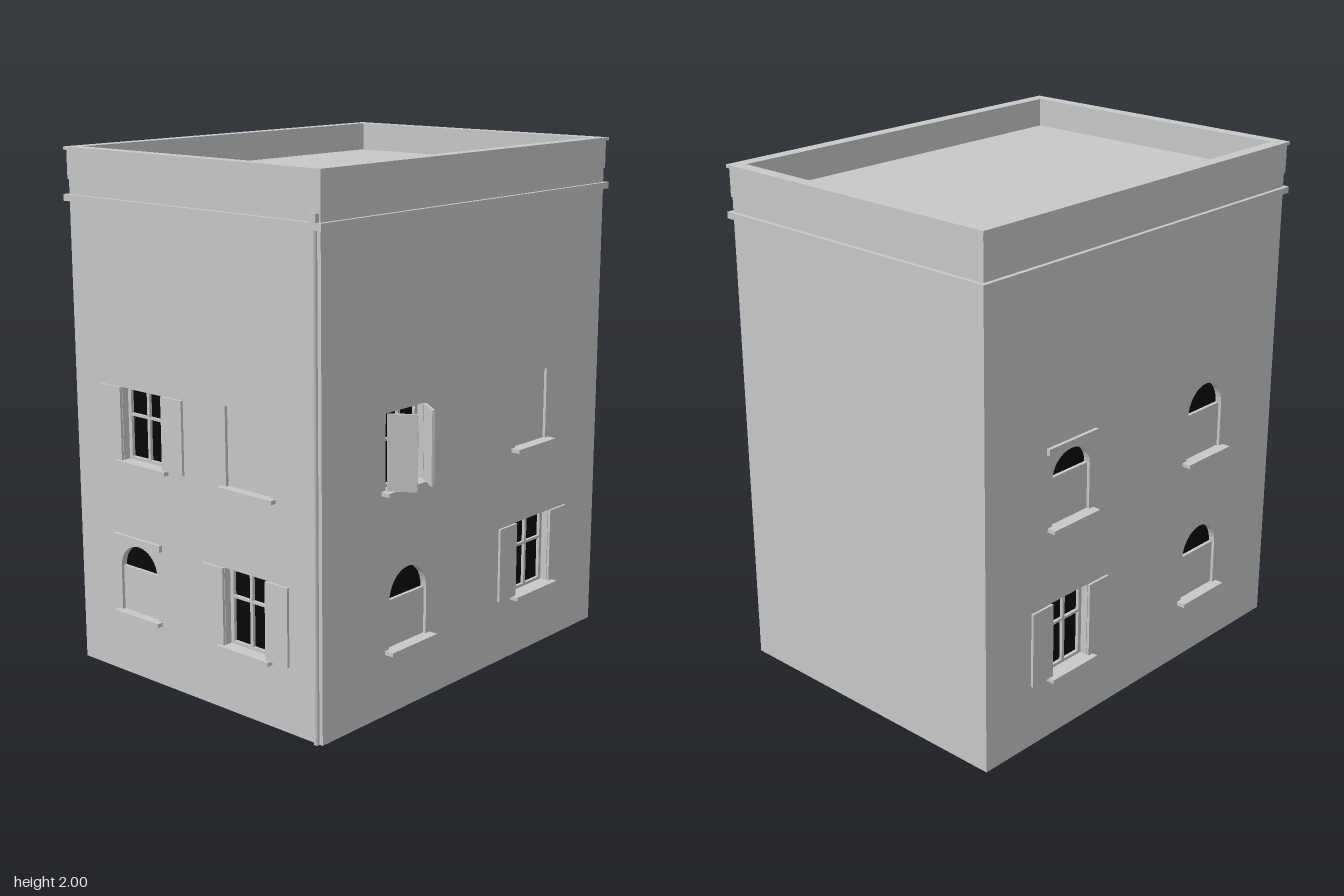
import * as THREE from 'three';

const wallMat = new THREE.MeshStandardMaterial({ color: 0xc8c8c8 });
wallMat.name = 'plaster grey';
const glassMat = new THREE.MeshStandardMaterial({ color: 0x080808 });
glassMat.name = 'dark glass';

// Overall body limits
const X0 = -0.66, X1 = 0.597, Z0 = -0.84, Z1 = 0.822, ROOF = 1.885, WALL = 0.06;
const CX = (X0 + X1) / 2, CZ = (Z0 + Z1) / 2, W = X1 - X0, D = Z1 - Z0;

function box(parent, name, w, h, d, x, y, z, mat = wallMat) {
  const mesh = new THREE.Mesh(new THREE.BoxGeometry(w, h, d), mat);
  mesh.name = name;
  mesh.position.set(x, y, z);
  parent.add(mesh);
  return mesh;
}

function rectPath(path, u0, y0, u1, y1) {
  path.moveTo(u0, y0);
  path.lineTo(u1, y0);
  path.lineTo(u1, y1);
  path.lineTo(u0, y1);
  path.closePath();
  return path;
}

// Outline of an opening, flat or arched at the top
function openingPath(o) {
  const u0 = o.u - o.w / 2, u1 = o.u + o.w / 2, path = new THREE.Path();
  if (o.kind !== 'arched') return rectPath(path, u0, o.y0, u1, o.y1);
  path.moveTo(u0, o.y0);
  path.lineTo(u1, o.y0);
  path.lineTo(u1, o.spring);
  path.absellipse(o.u, o.spring, o.w / 2, o.y1 - o.spring, 0, Math.PI, false);
  path.closePath();
  return path;
}

// Shutter leaf on a hinge; swing is 0 when closed and PI when flat on the wall
function shutter(parent, hingeU, side, swing, y0, y1) {
  const hinge = new THREE.Group();
  hinge.name = 'shutter';
  hinge.position.set(hingeU, (y0 + y1) / 2, 0.007);
  hinge.rotation.y = side < 0 ? -swing : Math.PI + swing;
  box(hinge, 'shutterLeaf', 0.108, y1 - y0, 0.01, 0.054, 0, 0);
  parent.add(hinge);
}

function fillOpening(parent, o, sillOut) {
  const g = new THREE.Group(), h = o.y1 - o.y0, mid = (o.y0 + o.y1) / 2;
  g.name = o.kind + 'Window';
  parent.add(g);
  box(g, 'sill', o.w + 0.045, 0.015, sillOut + 0.03, o.u, o.y0 - 0.007, (sillOut - 0.03) / 2);
  if (o.kind === 'blind') {
    box(g, 'blindPanel', o.w, h, 0.02, o.u, mid, -0.022);
  } else if (o.kind === 'arched') {
    // Solid lower panel with a dark fanlight above
    box(g, 'lowerPanel', o.w, o.spring - o.y0, 0.02, o.u, (o.spring + o.y0) / 2, -0.022);
    box(g, 'fanlightGlass', o.w, o.y1 - o.spring, 0.008, o.u, (o.spring + o.y1) / 2, -0.03, glassMat);
  } else {
    box(g, 'glass', o.w, h, 0.008, o.u, mid, -0.045, glassMat);
    for (const s of [-1, 1]) {
      box(g, 'frameSide', 0.016, h, 0.014, o.u + s * (o.w / 2 - 0.008), mid, -0.035);
      box(g, 'frameRail', o.w, 0.012, 0.014, o.u, mid + s * (h / 2 - 0.006), -0.035);
      shutter(g, o.u + s * o.w / 2, s, o.swing ?? Math.PI, o.y0, o.y1);
    }
    box(g, 'mullion', 0.013, h, 0.012, o.u, mid, -0.034);
    box(g, 'transom', o.w, 0.01, 0.012, o.u, o.y0 + h * 0.62, -0.034);
  }
  if (o.lintel) box(g, 'lintel', o.w + 0.06, 0.025, 0.016, o.u, o.lintel, 0.006);
}

// Wall with openings, u running to the right as seen from outside
function facade(root, name, u0, u1, openings, sillOut, place) {
  const g = new THREE.Group();
  g.name = name;
  const shape = rectPath(new THREE.Shape(), u0, 0, u1, ROOF);
  openings.forEach(o => shape.holes.push(openingPath(o)));
  const geo = new THREE.ExtrudeGeometry(shape, { depth: WALL, bevelEnabled: false, curveSegments: 8 });
  geo.translate(0, 0, -WALL);
  const wall = new THREE.Mesh(geo, wallMat);
  wall.name = name + 'Surface';
  g.add(wall);
  openings.forEach(o => fillOpening(g, o, sillOut));
  place(g);
  root.add(g);
}

// Rectangular ring around the building, grown outwards by `out`
function ring(root, name, y0, y1, out, inner) {
  const shape = rectPath(new THREE.Shape(), X0 - out, -Z1 - out, X1 + out, -Z0 + out);
  shape.holes.push(rectPath(new THREE.Path(), X0 + inner, -Z1 + inner, X1 - inner, -Z0 - inner));
  const geo = new THREE.ExtrudeGeometry(shape, { depth: y1 - y0, bevelEnabled: false });
  geo.rotateX(-Math.PI / 2);
  const mesh = new THREE.Mesh(geo, wallMat);
  mesh.name = name;
  mesh.position.y = y0;
  root.add(mesh);
}

export function createModel() {
  const root = new THREE.Group();
  root.name = 'townhouse';

  // Walls and their windows
  facade(root, 'frontWall', X0, X1, [
    { kind: 'shuttered', u: -0.29, w: 0.22, y0: 0.85, y1: 1.13 },
    { kind: 'blind', u: 0.25, w: 0.22, y0: 0.85, y1: 1.145 },
    { kind: 'arched', u: -0.335, w: 0.2, y0: 0.25, y1: 0.52, spring: 0.425, lintel: 0.543 },
    { kind: 'shuttered', u: 0.23, w: 0.21, y0: 0.25, y1: 0.545 },
  ], 0.024, g => { g.position.z = Z1; });

  facade(root, 'rightWall', -Z1 + WALL, -Z0 - WALL, [
    { kind: 'shuttered', u: -0.385, w: 0.21, y0: 0.85, y1: 1.13, swing: 0.95 },
    { kind: 'blind', u: 0.385, w: 0.2, y0: 0.85, y1: 1.13 },
    { kind: 'arched', u: -0.36, w: 0.21, y0: 0.25, y1: 0.54, spring: 0.43 },
    { kind: 'shuttered', u: 0.407, w: 0.225, y0: 0.25, y1: 0.545 },
  ], 0.037, g => { g.position.x = X1; g.rotation.y = Math.PI / 2; });

  facade(root, 'leftWall', Z0 + WALL, Z1 - WALL, [
    { kind: 'arched', u: -0.4, w: 0.2, y0: 0.85, y1: 1.12, spring: 1.03, lintel: 1.145 },
    { kind: 'arched', u: 0.38, w: 0.21, y0: 0.85, y1: 1.14, spring: 1.03 },
    { kind: 'shuttered', u: -0.4, w: 0.2, y0: 0.25, y1: 0.545 },
    { kind: 'arched', u: 0.38, w: 0.21, y0: 0.25, y1: 0.54, spring: 0.43 },
  ], 0.035, g => { g.position.x = X0; g.rotation.y = -Math.PI / 2; });

  box(root, 'backWall', W, ROOF, WALL, CX, ROOF / 2, Z0 + WALL / 2);

  // Floor slab and flat roof
  box(root, 'floor', W - 0.02, 0.02, D - 0.02, CX, 0.01, CZ);
  box(root, 'roof', W - 0.02, 0.02, D - 0.02, CX, ROOF - 0.008, CZ);

  // Cornice, parapet and coping
  ring(root, 'cornice', 1.8, 1.825, 0.016, 0.03);
  ring(root, 'parapet', 1.88, 1.988, 0.004, 0.04);
  ring(root, 'coping', 1.988, 2, 0.012, 0.04);

  // Drainpipe beside the front corner
  const pipe = new THREE.Mesh(new THREE.CylinderGeometry(0.01, 0.01, 1.84, 8), wallMat);
  pipe.name = 'drainpipe';
  pipe.position.set(0.574, 0.92, Z1 + 0.006);
  root.add(pipe);
  box(root, 'drainHopper', 0.03, 0.03, 0.02, 0.574, 1.84, Z1 + 0.008);

  return root;
}
